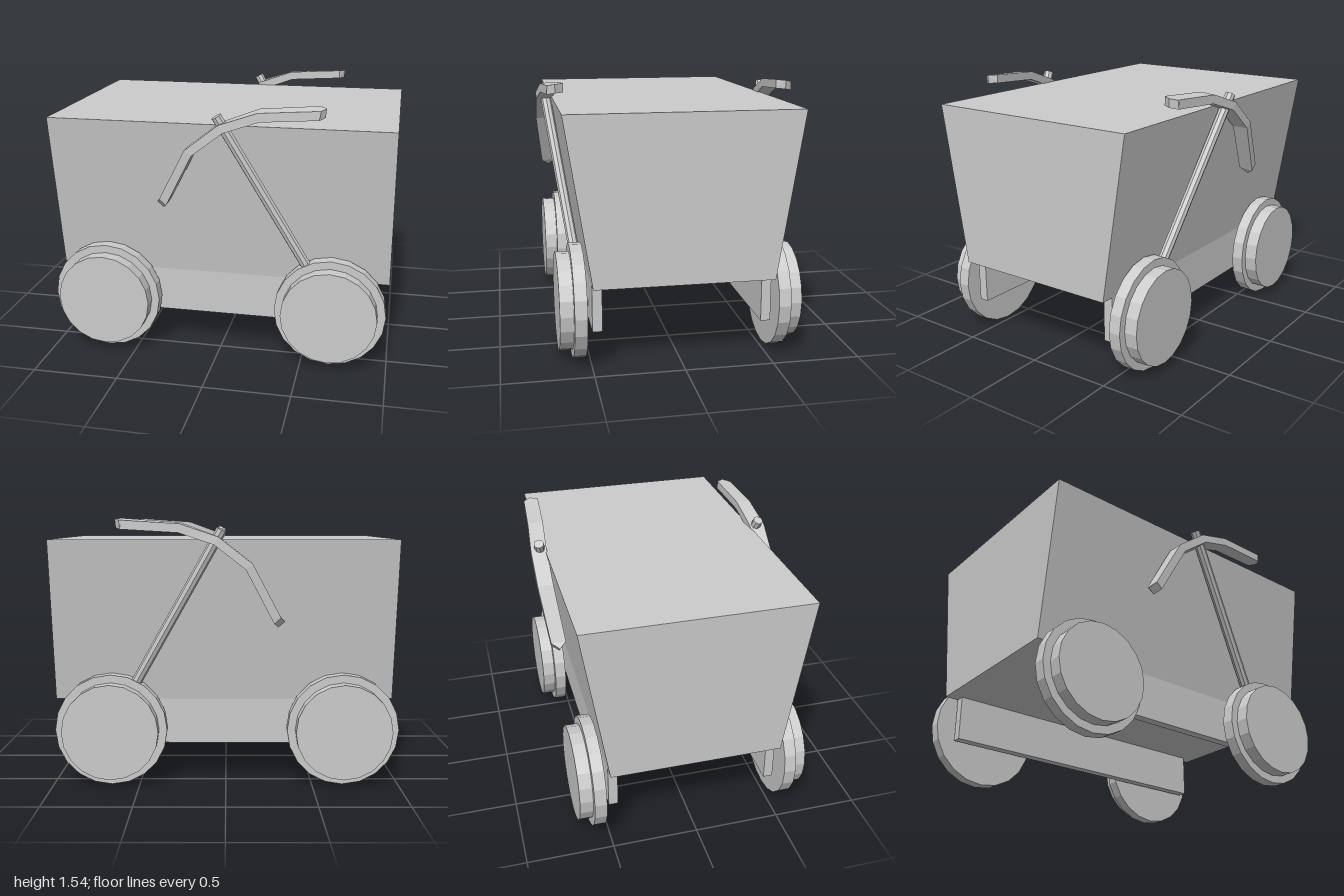
import * as THREE from 'three';

const material = new THREE.MeshStandardMaterial({ color: 0xcccccc, flatShading: true });

function add(parent, name, geometry, x = 0, y = 0, z = 0) {
  const mesh = new THREE.Mesh(geometry, material);
  mesh.name = name;
  mesh.position.set(x, y, z);
  parent.add(mesh);
  return mesh;
}

// Cylinder lying along z
function disc(radius, depth, sides) {
  return new THREE.CylinderGeometry(radius, radius, depth, sides).rotateX(Math.PI / 2);
}

// Handle sections from low end to high end: inner edge [x, y, z], outer edge [x, y, z]
const handleSections = [
  [[-0.315, 0.945, 0.645], [-0.29, 0.97, 0.69]],
  [[-0.285, 0.98, 0.605], [-0.285, 0.98, 0.692]],
  [[-0.13, 1.273, 0.635], [-0.13, 1.273, 0.727]],
  [[0.053, 1.415, 0.637], [0.053, 1.415, 0.73]],
  [[0.257, 1.49, 0.622], [0.257, 1.483, 0.713]],
  [[0.58, 1.513, 0.603], [0.58, 1.502, 0.692]],
  [[0.612, 1.51, 0.65], [0.585, 1.502, 0.69]],
];

// Bent bar with a four-cornered section
function handleGeometry(side) {
  const half = 0.025;
  const last = handleSections.length - 1;
  const positions = [];
  const index = [];
  const quad = (a, b, c, d) => index.push(...(side > 0 ? [a, b, c, a, c, d] : [a, c, b, a, d, c]));
  handleSections.forEach(([inner, outer], i) => {
    const from = handleSections[Math.max(i - 1, 0)][0];
    const to = handleSections[Math.min(i + 1, last)][0];
    const length = Math.hypot(to[0] - from[0], to[1] - from[1]);
    const nx = -(to[1] - from[1]) / length * half;
    const ny = (to[0] - from[0]) / length * half;
    // lower inner, upper inner, upper outer, lower outer
    for (const [p, s] of [[inner, -1], [inner, 1], [outer, 1], [outer, -1]]) {
      positions.push(p[0] + s * nx, p[1] + s * ny, p[2] * side);
    }
  });
  for (let i = 0; i < last; i++) {
    for (let j = 0; j < 4; j++) {
      const k = (j + 1) % 4;
      quad(i * 4 + j, i * 4 + k, i * 4 + 4 + k, i * 4 + 4 + j);
    }
  }
  quad(3, 2, 1, 0);
  quad(last * 4, last * 4 + 1, last * 4 + 2, last * 4 + 3);
  const geometry = new THREE.BufferGeometry();
  geometry.setAttribute('position', new THREE.Float32BufferAttribute(positions, 3));
  geometry.setIndex(index);
  const flat = geometry.toNonIndexed();
  flat.computeVertexNormals();
  return flat;
}

export function createModel() {
  const model = new THREE.Group();
  model.name = 'cart';

  // Tub: trapezoid section, wider at the top, run along x
  const section = new THREE.Shape([
    new THREE.Vector2(-0.5, 0.49), new THREE.Vector2(0.5, 0.49),
    new THREE.Vector2(0.645, 1.42), new THREE.Vector2(-0.645, 1.42),
  ]);
  const tub = new THREE.ExtrudeGeometry(section, { depth: 1.97, bevelEnabled: false });
  add(model, 'tub', tub.rotateY(Math.PI / 2), -0.975);

  for (const side of [1, -1]) {
    // Frame rail below the tub
    add(model, 'rail', new THREE.BoxGeometry(1.81, 0.265, 0.055), 0.01, 0.3575, side * 0.4725);

    // Wheels: wide inner flange, smaller outer tread, stub axle
    for (const x of [-0.678, 0.662]) {
      const wheel = new THREE.Group();
      wheel.name = 'wheel';
      wheel.position.set(x, 0.325, 0);
      add(wheel, 'flange', disc(0.323, 0.07, 20), 0, 0, side * 0.564);
      add(wheel, 'tread', disc(0.277, 0.077, 20), 0, 0, side * 0.6365);
      add(wheel, 'axle', disc(0.027, 0.06, 8), 0, -0.015, side * 0.51);
      model.add(wheel);
    }

    // Brake lever: sloping rod with a bent handle near its top
    const lever = new THREE.Group();
    lever.name = 'brakeLever';
    const bottom = new THREE.Vector3(0.54, 0.56, side * 0.557);
    const top = new THREE.Vector3(0.022, 1.475, side * 0.682);
    const axis = top.clone().sub(bottom);
    const rod = add(lever, 'rod', new THREE.CylinderGeometry(0.03, 0.03, axis.length(), 8));
    rod.position.copy(bottom).add(top).multiplyScalar(0.5);
    rod.quaternion.setFromUnitVectors(new THREE.Vector3(0, 1, 0), axis.normalize());
    add(lever, 'handle', handleGeometry(side));
    model.add(lever);
  }
  return model;
}
